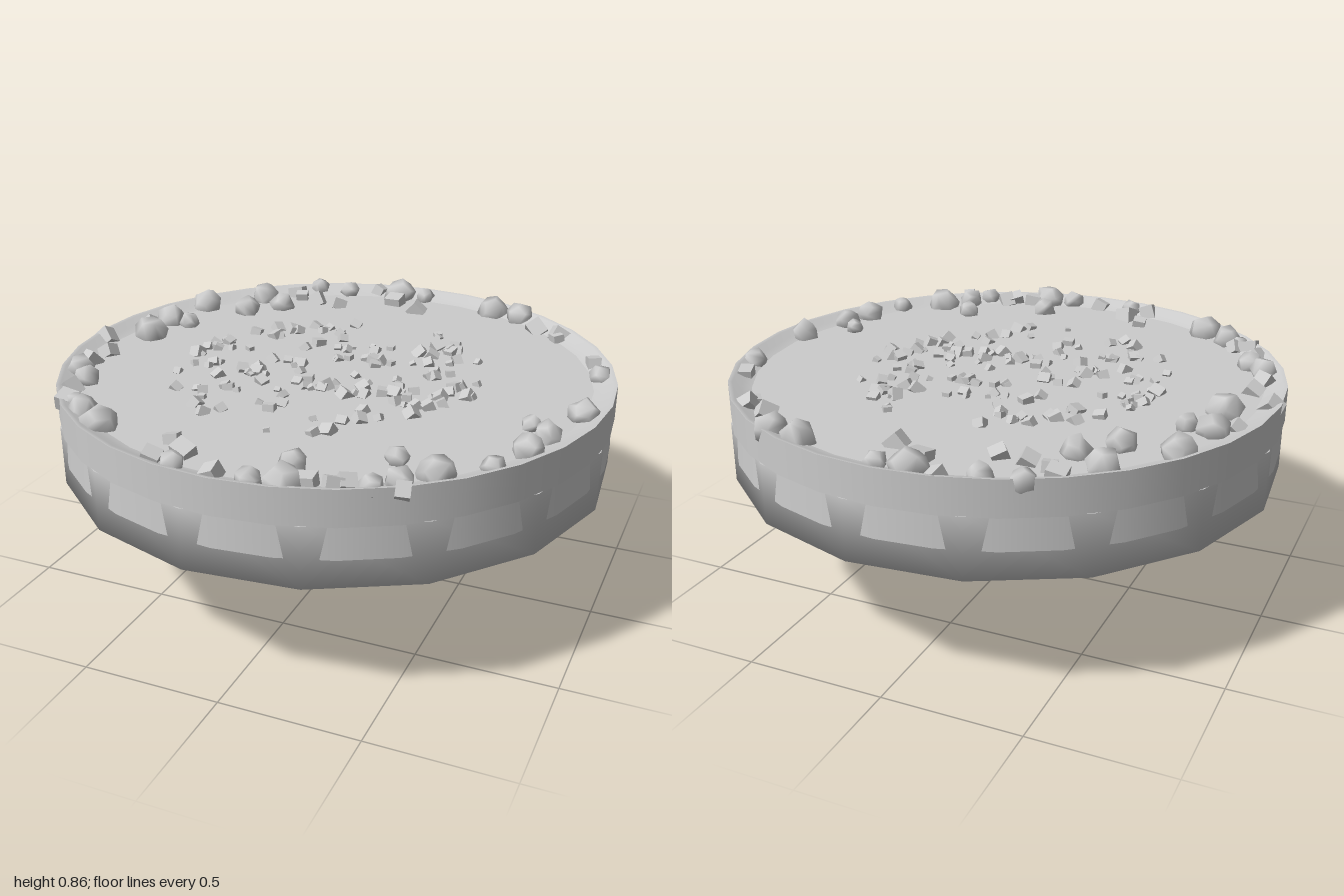
import * as THREE from 'three';
import { mergeVertices } from 'three/addons/utils/BufferGeometryUtils.js';

const material = new THREE.MeshStandardMaterial({ color: 0xcccccc });
const twoSided = new THREE.MeshStandardMaterial({ color: 0xcccccc, side: THREE.DoubleSide });
const FLOOR = 0.78;

// Small seeded generator
function seeded(seed) {
  return () => {
    seed = (seed * 1664525 + 1013904223) % 4294967296;
    return seed / 4294967296;
  };
}

function lathe(points, sides) {
  return new THREE.LatheGeometry(points.map(([r, y]) => new THREE.Vector2(r, y)), sides);
}

function add(parent, name, geometry, mat = material) {
  const mesh = new THREE.Mesh(geometry, mat);
  mesh.name = name;
  parent.add(mesh);
  return mesh;
}

// Lumpy boulder with soft shading
function boulderGeometry(rand) {
  let g = new THREE.DodecahedronGeometry(1, 0);
  g.deleteAttribute('normal');
  g.deleteAttribute('uv');
  g = mergeVertices(g, 1e-3);
  const p = g.attributes.position;
  for (let i = 0; i < p.count; i++) {
    const s = 0.88 + 0.24 * rand();
    p.setXYZ(i, p.getX(i) * s, p.getY(i) * s, p.getZ(i) * s);
  }
  g.computeVertexNormals();
  return g;
}

// Boulders round the rim: x, z, radius
const boulders = [
  [-0.44, -0.87, 0.045], [-0.31, -0.89, 0.045], [-0.09, -0.92, 0.065], [0.02, -0.93, 0.04],
  [0.34, -0.86, 0.065], [0.46, -0.83, 0.06], [-0.61, -0.67, 0.06], [-0.5, -0.6, 0.052],
  [-0.79, -0.48, 0.065], [-0.61, -0.49, 0.055], [-0.84, -0.26, 0.062], [-0.75, -0.25, 0.042],
  [-0.83, -0.08, 0.068], [-0.86, 0.36, 0.055], [-0.79, 0.43, 0.05], [-0.64, 0.68, 0.055],
  [-0.53, 0.75, 0.068], [-0.16, 0.92, 0.042], [0.11, 0.94, 0.045], [0.21, 0.91, 0.065],
  [0.18, 0.78, 0.05], [0.52, 0.77, 0.05], [0.61, 0.68, 0.065], [0.46, 0.62, 0.042],
  [0.75, 0.57, 0.04], [0.82, 0.41, 0.058], [0.85, 0.28, 0.052], [0.92, 0.07, 0.056],
  [0.9, -0.29, 0.045], [0.78, 0.22, 0.036], [0.46, 0.84, 0.042], [-0.7, 0.63, 0.035],
];

// Chips between the boulders: x, z
const chips = [
  [-0.51, -0.78], [-0.47, -0.74], [-0.39, -0.72], [-0.29, -0.71], [-0.19, -0.94], [-0.08, -0.83],
  [0.04, -0.76], [0.56, -0.72], [0.66, -0.68], [0.66, -0.64], [-0.9, -0.2], [-0.96, 0.03],
  [-0.87, 0.16], [-0.88, 0.26], [-0.79, 0.52], [-0.74, 0.62], [-0.69, 0.6], [-0.24, 0.91],
  [-0.17, 0.83], [-0.25, 0.76], [-0.02, 0.93], [0.27, 0.88], [0.35, 0.87], [0.38, 0.84], [0.55, 0.82],
  [0.85, -0.42],
];

export function createModel() {
  const model = new THREE.Group();
  const rand = seeded(17);
  const turn = (mesh) => mesh.rotation.set(rand() * 6.28, rand() * 6.28, rand() * 6.28);

  // Conical underside with a short upright wall
  const base = add(model, 'taperedBase', lathe([[0, 0], [1, 0.47], [1, 0.685], [0, 0.685]].slice(0, 3), 16));
  base.rotation.y = 0.286;
  const baseTop = add(model, 'baseTop', new THREE.CircleGeometry(1, 16).rotateX(-Math.PI / 2));
  baseTop.position.y = 0.685;
  baseTop.rotation.y = 0.286 - Math.PI / 2;

  // Middle layer showing through the flats of the base wall
  const middle = add(model, 'middleLayer', new THREE.CylinderGeometry(0.989, 0.994, 0.12, 32));
  middle.position.y = 0.63;

  // Upper wall, dished rim and floor
  add(model, 'upperWall', lathe([[1, 0.684], [1, 0.81]], 32), twoSided);
  add(model, 'rim', lathe([[1, 0.81], [0.985, 0.808], [0.955, 0.79], [0.92, FLOOR]], 32), twoSided);
  const floor = add(model, 'floor', new THREE.CircleGeometry(0.925, 32).rotateX(-Math.PI / 2));
  floor.position.y = FLOOR;

  // Boulders
  const rocks = new THREE.Group();
  rocks.name = 'rimBoulders';
  model.add(rocks);
  const shapes = [0, 1, 2, 3].map(() => boulderGeometry(rand));
  boulders.forEach(([x, z, r], i) => {
    const rock = add(rocks, 'boulder', shapes[i % 4]);
    rock.position.set(x, FLOOR + 0.015, z);
    rock.scale.setScalar(r);
    turn(rock);
  });

  // Chips
  const chipGeometry = new THREE.BoxGeometry(1, 0.9, 1.1);
  chips.forEach(([x, z]) => {
    const chip = add(rocks, 'chip', chipGeometry);
    chip.position.set(x, FLOOR + 0.01, z);
    chip.scale.setScalar(0.042 + 0.02 * rand());
    turn(chip);
  });

  // Gravel scattered over the middle of the floor
  const gravel = new THREE.Group();
  gravel.name = 'gravel';
  model.add(gravel);
  for (let i = 0; i < 140; i++) {
    const a = rand() * Math.PI * 2;
    const d = 0.1 + 0.48 * Math.pow(rand(), 0.8);
    const pebble = add(gravel, 'pebble', chipGeometry);
    pebble.position.set(Math.cos(a) * d - 0.03, FLOOR + 0.004, Math.sin(a) * d);
    pebble.scale.setScalar(0.018 + 0.026 * rand());
    turn(pebble);
  }
  return model;
}
